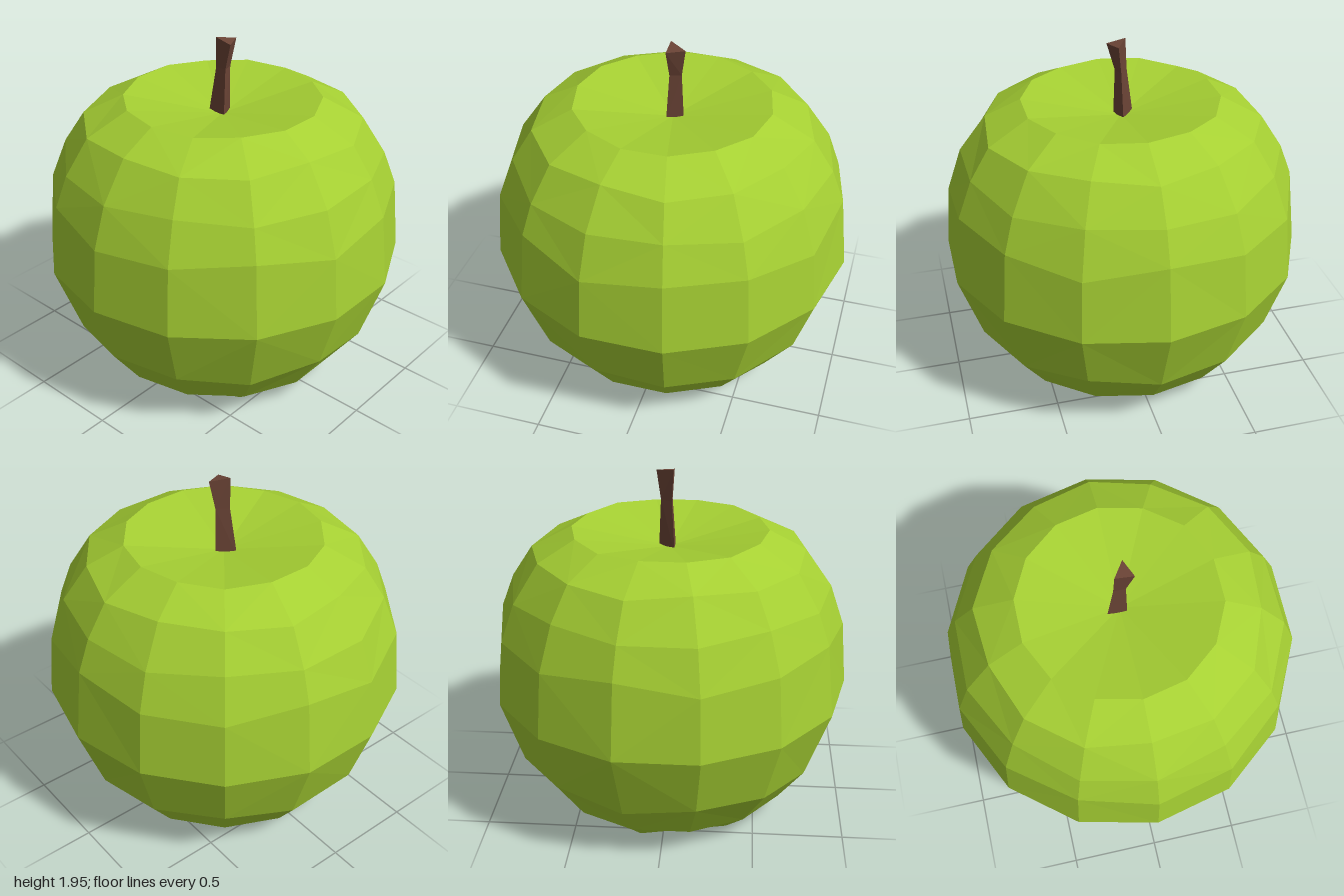
import * as THREE from 'three';

const SIDES = 14;

// Builds flat-shaded triangles between stacked rings of equal point count.
function skin(rings, material, name) {
  const pos = [];
  const tri = (a, b, c) => pos.push(...a, ...b, ...c);
  for (let r = 0; r < rings.length - 1; r++) {
    const lo = rings[r], hi = rings[r + 1], n = lo.length;
    for (let k = 0; k < n; k++) {
      const j = (k + 1) % n;
      if ((k + r) % 2) {
        tri(lo[k], lo[j], hi[j]);
        tri(lo[k], hi[j], hi[k]);
      } else {
        tri(lo[k], lo[j], hi[k]);
        tri(lo[j], hi[j], hi[k]);
      }
    }
  }
  const geo = new THREE.BufferGeometry();
  geo.setAttribute('position', new THREE.Float32BufferAttribute(pos, 3));
  geo.computeVertexNormals();
  const mesh = new THREE.Mesh(geo, material);
  mesh.name = name;
  return mesh;
}

// Radius and height, from the hollow underneath up to the dip at the stem;
// the third value is how far the ring's points wander up and down.
const PROFILE = [
  [0, 0.14, 0], [0.36, 0.02, 0], [0.56, 0, 0], [0.71, 0.13, 0],
  [0.88, 0.36, 0.035], [1, 0.73, 0], [0.965, 1.11, 0.035],
  [0.885, 1.32, 0.015], [0.76, 1.51, 0.012], [0.54, 1.62, 0.005], [0, 1.52, 0],
];

// Radius on the outer skin at a given height, so wandering points stay on it
function radiusAt(y) {
  for (let i = 2; i < 9; i++) {
    const [r0, y0] = PROFILE[i], [r1, y1] = PROFILE[i + 1];
    if (y <= y1) return r0 + (r1 - r0) * (y - y0) / (y1 - y0);
  }
  return PROFILE[9][0];
}

function appleRing([radius, height, wander], index) {
  const ring = [];
  for (let k = 0; k < SIDES; k++) {
    const y = height + wander * Math.sin(k * 2.3 + index * 1.7);
    let r = wander && index < 9 ? radiusAt(y) : radius;
    // the base and its hollow have half as many corners
    if (index < 3 && k % 2) r *= Math.cos(Math.PI * 2 / SIDES);
    const a = k / SIDES * Math.PI * 2;
    ring.push([Math.sin(a) * r, y, Math.cos(a) * r]);
  }
  return ring;
}

export function createModel() {
  const green = new THREE.MeshStandardMaterial({ color: 0xa6d033, flatShading: true });
  green.name = 'appleGreen';
  const brown = new THREE.MeshStandardMaterial({ color: 0x6b4436, flatShading: true });
  brown.name = 'stemBrown';

  const model = new THREE.Group();
  model.name = 'apple';
  model.add(skin(PROFILE.map(appleRing), green, 'fruit'));

  // Three-sided stem, pinched in the middle and leaning to one side
  const stem = [
    [[-0.075, 1.5, 0.03], [0.035, 1.5, 0.03], [0, 1.5, -0.06]],
    [[-0.035, 1.78, 0.012], [0.03, 1.78, 0.012], [0.01, 1.78, -0.05]],
    [[-0.03, 1.95, 0.02], [0.072, 1.93, 0.02], [0.03, 1.935, -0.075]],
    Array(3).fill([0.024, 1.938, -0.012]),
  ];
  model.add(skin(stem, brown, 'stem'));
  return model;
}
